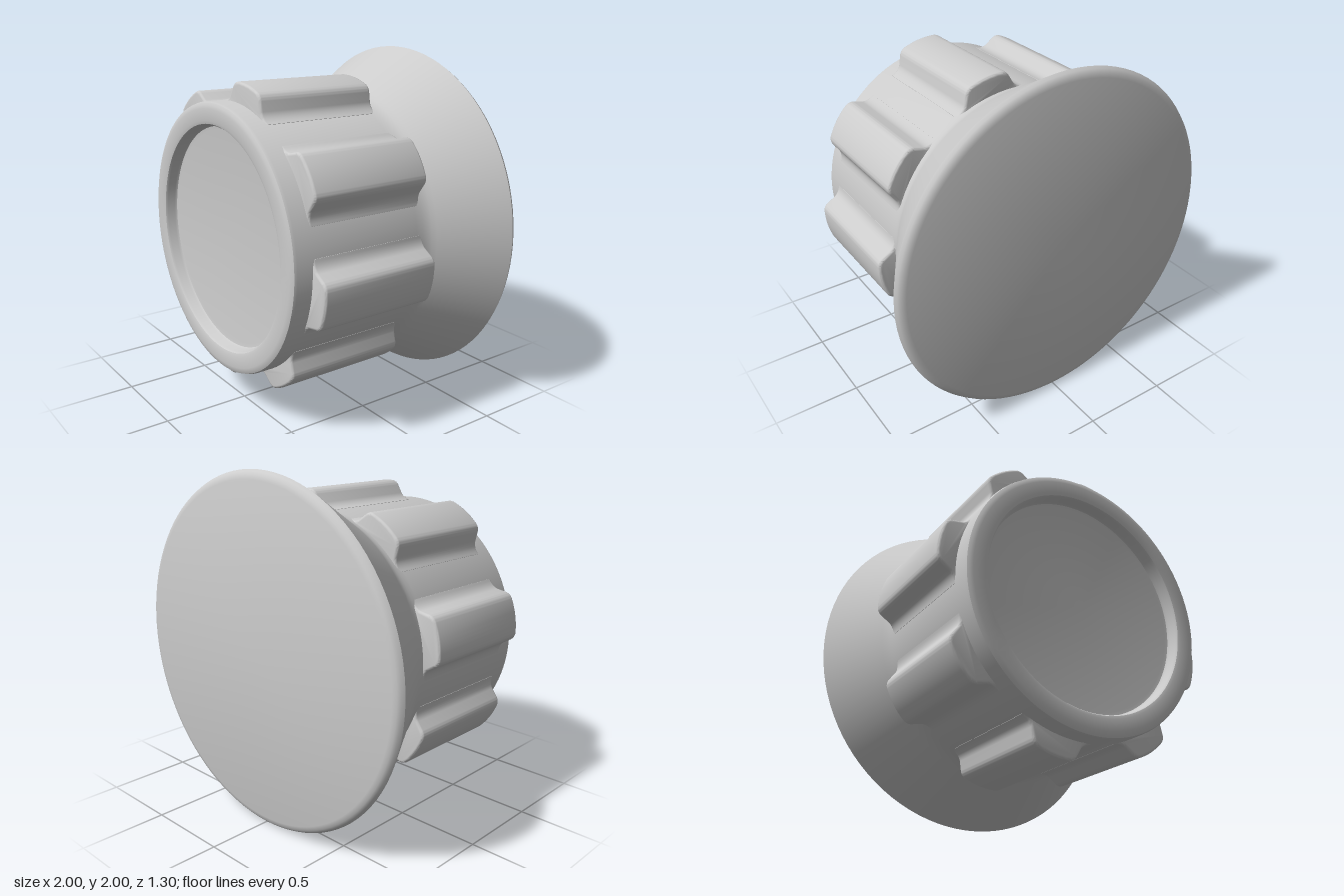
import * as THREE from 'three';
import { toCreasedNormals } from 'three/addons/utils/BufferGeometryUtils.js';

const material = new THREE.MeshStandardMaterial({ color: 0xcccccc });

function addMesh(parent, name, geometry, crease) {
  const mesh = new THREE.Mesh(toCreasedNormals(geometry, crease), material);
  mesh.name = name;
  parent.add(mesh);
  return mesh;
}

// Turned body: back flange, cone, grip drum, rim and recessed face
function bodyGeometry() {
  const profile = [
    [0, -0.65], [0.95, -0.65], [0.975, -0.643], [0.99, -0.63], [1, -0.612], [0.993, -0.6],
    [0.79, -0.255], [0.775, -0.23], [0.766, -0.205], [0.761, -0.18], [0.757, -0.14],
    [0.757, 0.63], [0.752, 0.645], [0.738, 0.652], [0.72, 0.655],
    [0.655, 0.655], [0.638, 0.65], [0.63, 0.638],
    [0.628, 0.595], [0.62, 0.583], [0.6, 0.58], [0, 0.58],
  ].map(([r, z]) => new THREE.Vector2(r, z));
  return new THREE.LatheGeometry(profile, 96).rotateX(Math.PI / 2);
}

// Grip rib pointing along +y, with flared feet and rounded shoulders
function ribGeometry() {
  const s = new THREE.Shape();
  s.moveTo(0.215, 0.69);
  s.lineTo(0.215, 0.727);
  s.quadraticCurveTo(0.17, 0.742, 0.156, 0.775);
  s.lineTo(0.138, 0.825);
  s.quadraticCurveTo(0.126, 0.855, 0.095, 0.861);
  s.quadraticCurveTo(0, 0.881, -0.095, 0.861);
  s.quadraticCurveTo(-0.126, 0.855, -0.138, 0.825);
  s.lineTo(-0.156, 0.775);
  s.quadraticCurveTo(-0.17, 0.742, -0.215, 0.727);
  s.lineTo(-0.215, 0.69);
  s.closePath();
  const bevel = 0.015;
  const geometry = new THREE.ExtrudeGeometry(s, {
    depth: 0.72 - 2 * bevel, curveSegments: 8,
    bevelThickness: bevel, bevelSize: bevel, bevelOffset: -bevel, bevelSegments: 3,
  });
  return geometry.translate(0, 0, -0.18 + bevel);
}

export function createModel() {
  const knob = new THREE.Group();
  knob.name = 'knob';
  knob.position.y = 1;
  addMesh(knob, 'body', bodyGeometry(), 0.65);

  // Eight ribs around the drum
  const ribs = new THREE.Group();
  ribs.name = 'gripRibs';
  const rib = ribGeometry();
  for (let i = 0; i < 8; i++) {
    addMesh(ribs, `gripRib${i + 1}`, rib, 0.6).rotation.z = THREE.MathUtils.degToRad(-11.2 + i * 45);
  }
  knob.add(ribs);

  const model = new THREE.Group();
  model.name = 'model';
  model.add(knob);
  return model;
}
